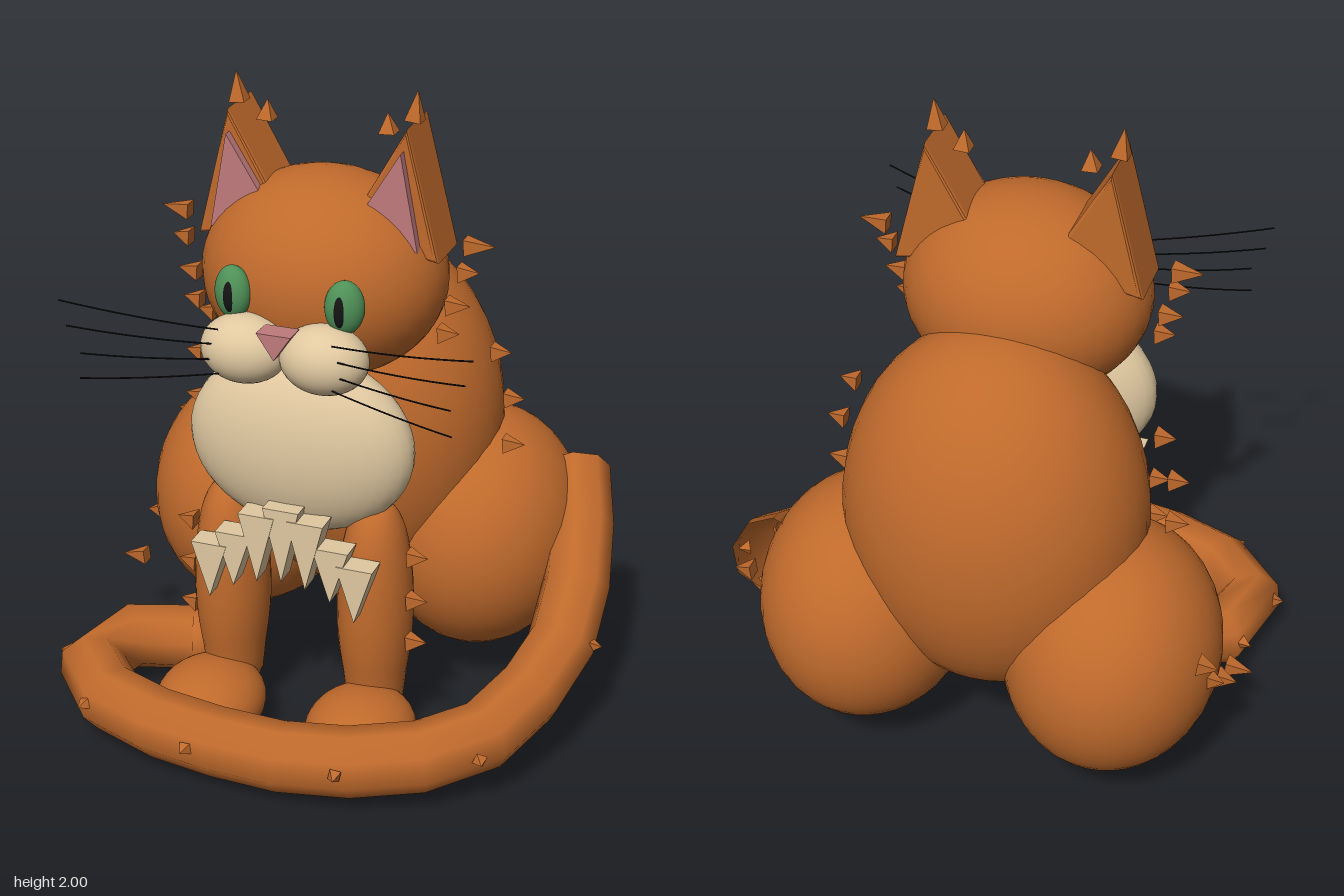
import * as THREE from 'three';

const mat = (color, opts = {}) => new THREE.MeshStandardMaterial({ color, ...opts });
const ORANGE = 0xc06a2c, CREAM = 0xe0c8a0, PINK = 0xbf7a7c;
const fur = mat(ORANGE);
const furFlat = mat(ORANGE, { flatShading: true });
const furOpen = mat(ORANGE, { side: THREE.DoubleSide });
const cream = mat(CREAM);
const creamFlat = mat(CREAM, { flatShading: true });
const pink = mat(PINK, { flatShading: true });
const green = mat(0x4f9158);
const black = mat(0x141414);

const MID = -0.055; // the body's plane of symmetry

function add(parent, name, geometry, material, pos = [0, 0, 0]) {
  const mesh = new THREE.Mesh(geometry, material);
  mesh.name = name;
  mesh.position.set(...pos);
  parent.add(mesh);
  return mesh;
}

function ellipsoid(parent, name, material, pos, radii) {
  const mesh = add(parent, name, new THREE.SphereGeometry(1, 36, 24), material, pos);
  mesh.scale.set(...radii);
  return mesh;
}

// Four-sided tuft whose base sits at pos and whose tip points along dir
function tuft(parent, name, pos, dir, length = 0.06, radius = 0.034) {
  const geometry = new THREE.ConeGeometry(radius, length, 4);
  geometry.rotateY(Math.PI / 4).translate(0, length / 2, 0);
  const mesh = add(parent, name, geometry, furFlat, pos);
  mesh.quaternion.setFromUnitVectors(new THREE.Vector3(0, 1, 0), new THREE.Vector3(...dir).normalize());
}

// Triangular slab facing +z, starting at z = 0
function triangle(points, depth, bevel = 0) {
  const shape = new THREE.Shape(points.map(([x, y]) => new THREE.Vector2(x, y)));
  return new THREE.ExtrudeGeometry(shape, {
    depth, bevelEnabled: bevel > 0, bevelSize: bevel, bevelThickness: bevel, bevelSegments: 2,
  });
}

function addSide(cat, s) {
  const side = s > 0 ? 'left' : 'right';

  // Haunch, foreleg and paw
  ellipsoid(cat, side + 'Haunch', fur, [s * 0.382, 0.483, -0.373], [0.325, 0.388, 0.372]);
  const profile = [[0, 0.1], [0.075, 0.12], [0.095, 0.24], [0.11, 0.36], [0.113, 0.48],
    [0.106, 0.6], [0.088, 0.71], [0.06, 0.775], [0.03, 0.797], [0, 0.802]];
  const legCurve = new THREE.SplineCurve(profile.map(([r, y]) => new THREE.Vector2(r, y)));
  const legPoints = legCurve.getPoints(27).map((p) => new THREE.Vector2(Math.max(0, p.x), p.y));
  const leg = add(cat, side + 'Foreleg', new THREE.LatheGeometry(legPoints, 28), fur, [s * 0.23, 0, 0.195]);
  leg.scale.z = 1.15;
  ellipsoid(cat, side + 'Paw', fur, [s * 0.243, 0.122, 0.36], [0.166, 0.122, 0.19]);

  // Ear with a pink inner face
  const mirrored = (pts) => (s > 0 ? pts : pts.map(([x, y]) => [-x, y]));
  const ear = triangle(mirrored([[0.355, 1.533], [0.1, 1.59], [0.267, 1.892]]), 0.166, 0.012);
  add(cat, side + 'Ear', ear, furFlat, [0, 0, -0.103]);
  const inner = triangle(mirrored([[0.315, 1.56], [0.13, 1.63], [0.262, 1.845]]), 0.03);
  add(cat, side + 'InnerEar', inner, pink, [0, 0, 0.074]);

  // Eye, pupil and cheek
  ellipsoid(cat, side + 'Eye', green, [s * 0.168, 1.448, 0.292], [0.057, 0.08, 0.045]).rotation.y = s * 0.3;
  ellipsoid(cat, side + 'Pupil', black, [s * 0.165, 1.447, 0.322], [0.021, 0.05, 0.02]);
  ellipsoid(cat, side + 'Cheek', cream, [s * 0.12, 1.298, 0.328], [0.131, 0.102, 0.1]);

  // Whiskers
  const ends = [[0.61, 1.442], [0.59, 1.367], [0.55, 1.288], [0.555, 1.21]];
  ends.forEach(([x, y], i) => {
    const y0 = 1.375 - i * 0.045;
    const curve = new THREE.QuadraticBezierCurve3(
      new THREE.Vector3(s * 0.17, y0, 0.4),
      new THREE.Vector3(s * 0.38, (y0 + y) / 2 - 0.015, 0.45),
      new THREE.Vector3(s * x, y, 0.505));
    add(cat, side + 'Whisker', new THREE.TubeGeometry(curve, 8, 0.0025, 5), black);
  });

  // Fur tufts: [offset from middle, y, z, length]
  const tufts = {
    Head: [[0.425, 1.56, 0, 0.09], [0.415, 1.485, 0.02, 0.06], [0.385, 1.385, 0.035, 0.07], [0.37, 1.305, 0.055, 0.06]],
    Body: [[0.45, 1.145, -0.22, 0.06], [0.495, 1.0, -0.22, 0.06], [0.495, 0.848, -0.22, 0.065]],
    Haunch: [[0.68, 0.63, -0.55, 0.06], [0.69, 0.49, -0.45, 0.05], [0.69, 0.365, -0.3, 0.06], [0.685, 0.275, -0.145, 0.085]],
    Foreleg: [[0.34, 0.65, 0.215, 0.06], [0.34, 0.505, 0.215, 0.06], [0.34, 0.365, 0.215, 0.06]],
  };
  for (const [part, list] of Object.entries(tufts)) {
    for (const [x, y, z, length] of list) {
      tuft(cat, side + part + 'Tuft', [s * x, y, z], [s, part === 'Haunch' ? -0.1 : 0.08, 0], length);
    }
  }
  tuft(cat, side + 'EarTipTuft', [s * 0.265, 1.91, -0.01], [s * 0.1, 1, 0], 0.09);
  tuft(cat, side + 'EarTuft', [s * 0.185, 1.862, -0.02], [-s * 0.05, 1, 0], 0.06);
}

function addTail(parent) {
  const path = [[0.6, 0.66, -0.5], [0.675, 0.5, -0.28], [0.7, 0.33, -0.03], [0.65, 0.24, 0.19],
    [0.53, 0.18, 0.42], [0.18, 0.145, 0.585], [-0.22, 0.135, 0.585], [-0.58, 0.135, 0.48],
    [-0.72, 0.14, 0.3], [-0.66, 0.145, 0.14], [-0.47, 0.145, 0.08]];
  const curve = new THREE.CatmullRomCurve3(path.map((p) => new THREE.Vector3(...p)));
  add(parent, 'tail', new THREE.TubeGeometry(curve, 14, 0.105, 8), furOpen);
  ellipsoid(parent, 'tailTip', fur, path[path.length - 1], [0.1, 0.095, 0.095]);

  // Tufts on the outer bends of the tail: [x, y, z, direction x, direction z]
  const bends = [[0.67, 0.64, -0.47, 0.7, -0.4], [0.79, 0.33, -0.01, 1, 0], [0.6, 0.19, 0.49, 0.4, 0.9],
    [0.225, 0.17, 0.68, 0.2, 1], [-0.24, 0.155, 0.68, -0.1, 1], [-0.62, 0.155, 0.565, -0.3, 0.9],
    [-0.79, 0.165, 0.32, -1, 0.1], [-0.74, 0.16, 0.1, -0.8, -0.4]];
  for (const [x, y, z, dx, dz] of bends) tuft(parent, 'tailTuft', [x, y, z], [dx, 0, dz], 0.035, 0.024);
}

export function createModel() {
  const model = new THREE.Group();
  model.name = 'sittingCat';
  const cat = new THREE.Group();
  cat.name = 'body';
  cat.position.x = MID;
  model.add(cat);

  // Trunk, chest and head
  ellipsoid(cat, 'trunk', fur, [0, 0.86, -0.303], [0.455, 0.597, 0.41]);
  ellipsoid(cat, 'chest', cream, [0, 0.97, 0.2], [0.347, 0.283, 0.15]);
  ellipsoid(cat, 'head', fur, [0, 1.43, 0], [0.367, 0.31, 0.318]);

  // Nose
  add(cat, 'nose', triangle([[-0.052, 1.385], [0, 1.308], [0.052, 1.385]], 0.07), pink, [0, 0, 0.34]);

  // Zigzag of chest fur
  const tops = [0.82, 0.79, 0.715, 0.67];
  const tips = [0.585, 0.575, 0.545, 0.495];
  for (let i = -3; i <= 3; i++) {
    const top = tops[Math.abs(i)], tip = tips[Math.abs(i)];
    const lock = triangle([[-0.056, top], [0, tip], [0.056, top]], 0.075);
    add(cat, 'chestFur', lock, creamFlat, [i * 0.076, 0, 0.302 + (i % 2 ? 0.003 : 0)]);
  }

  for (const s of [-1, 1]) addSide(cat, s);
  addTail(model);
  return model;
}
